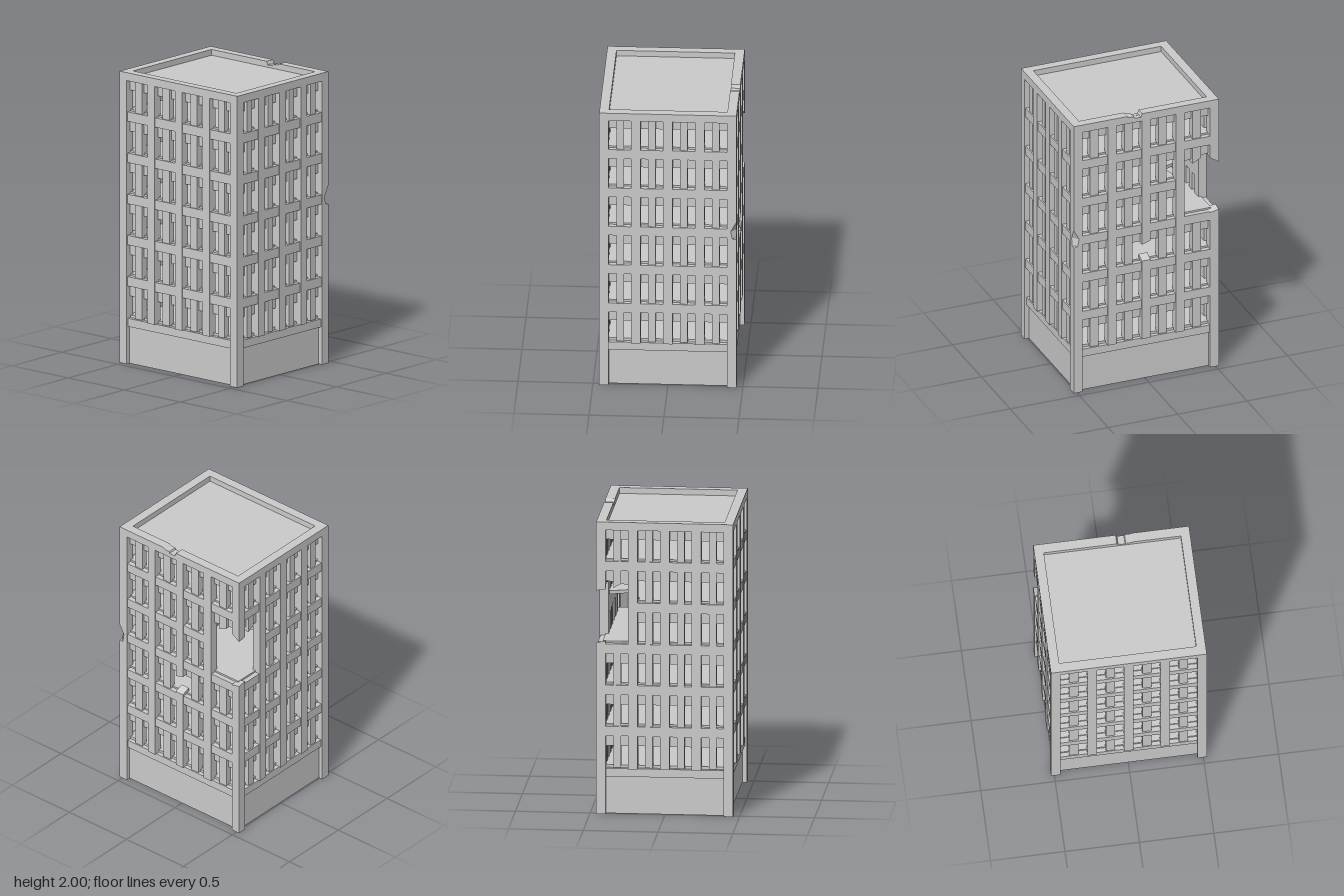
import * as THREE from 'three';

const HX = 0.4575, HZ = 0.523;       // half width and half depth
const POST = 0.063, WALL = 0.06;     // corner post size, wall thickness
const STOREY = 0.2825, STOREYS = 6, BASE = 0.317;

const grey = new THREE.MeshStandardMaterial({ color: 0xcccccc, flatShading: true });

function add(parent, name, geometry) {
  const mesh = new THREE.Mesh(geometry, grey);
  mesh.name = name;
  parent.add(mesh);
  return mesh;
}

// Box given by its limits
function box(parent, name, x0, x1, y0, y1, z0, z1) {
  const g = new THREE.BoxGeometry(x1 - x0, y1 - y0, z1 - z0);
  g.translate((x0 + x1) / 2, (y0 + y1) / 2, (z0 + z1) / 2);
  return add(parent, name, g);
}

// Makes one end of a box uneven: rule(x, z) gives the shift in y
function breakEnd(mesh, y, rule) {
  const p = mesh.geometry.attributes.position;
  for (let i = 0; i < p.count; i++) {
    if (Math.abs(p.getY(i) - y) < 0.001) p.setY(i, y + rule(p.getX(i), p.getZ(i)));
  }
  mesh.geometry.computeVertexNormals();
}

// Post lofted through sections [y, corner cut], outer corner at (HX, HZ)
function chippedPost(parent, sections) {
  const ring = ([y, c]) => [
    [HX - POST, y, HZ - POST], [HX - POST, y, HZ], [HX - c, y, HZ],
    [HX, y, HZ - c], [HX, y, HZ - POST],
  ];
  const rings = sections.map(ring), pos = [];
  const tri = (a, b, c) => pos.push(...a, ...b, ...c);
  for (let i = 0; i + 1 < rings.length; i++) {
    for (let k = 0; k < 5; k++) {
      const n = (k + 1) % 5, a = rings[i], b = rings[i + 1];
      tri(a[k], a[n], b[n]);
      tri(a[k], b[n], b[k]);
    }
  }
  const top = rings[rings.length - 1], low = rings[0];
  for (let k = 1; k < 4; k++) {
    tri(top[0], top[k], top[k + 1]);
    tri(low[0], low[k + 1], low[k]);
  }
  const g = new THREE.BufferGeometry();
  g.setAttribute('position', new THREE.Float32BufferAttribute(pos, 3));
  g.computeVertexNormals();
  add(parent, 'chippedCornerPost', g);
}

// One facade, facing +z before it is turned
function facade(name, half, depth, angle, pier, opts) {
  const group = new THREE.Group();
  group.name = name;
  group.rotation.y = angle;
  const inner = half - POST, back = depth - WALL, pw = 0.0315;

  // Base ledge and panel
  box(group, 'basePanel', -inner, inner, 0, 0.256, depth - 0.06, depth - 0.03);
  box(group, 'baseLedge', -inner, inner, 0.256, 0.312, back, depth - 0.012);

  // Piers
  for (const c of [-pier, 0, pier]) {
    const parts = c === 0 && opts.pierGap ? [[0.31, 0.905], [1.03, opts.pierTop]] : [[0.31, opts.pierTop]];
    for (const [a, b] of parts) {
      const m = box(group, 'pier', c - pw, c + pw, a, b, back, depth);
      if (b === 0.905) breakEnd(m, b, (x, z) => (z > back + 0.01 ? -0.01 : 0.015));
      if (a === 1.03) breakEnd(m, a, (x) => (x > 0 ? 0.008 : -0.012));
    }
  }

  // Bays: band, recessed header and mullion on each storey
  const edges = [[-inner, -pier - pw], [-pier + pw, -pw], [pw, pier - pw], [pier + pw, inner]];
  edges.forEach(([l, r], bay) => {
    const mid = (l + r) / 2, w = (r - l) / 6;
    for (let i = 0; i < STOREYS; i++) {
      const y = BASE + i * STOREY, broken = bay === opts.brokenBay;
      if (broken && i === 3) continue;
      const torn = broken && i === 4;
      const bandTop = y + 0.283, bandLow = y + 0.218;
      const header = box(group, 'header', l, r, y + 0.145, bandLow + 0.03, back, depth - 0.035);
      if (torn) breakEnd(header, y + 0.145, (x) => (x * (bay ? 1 : -1) > Math.abs(mid) ? 0 : -0.03));
      const foot = torn ? 1.555 : y;
      const m = box(group, 'mullion', mid - w, mid + w, foot, bandLow, back, depth - 0.015);
      if (torn) breakEnd(m, foot, (x) => (x > mid ? 0.02 : -0.01));
      if (i < STOREYS - 1) {
        box(group, 'floorBand', l, r, bandLow, bandTop, back, depth - 0.006);
      }
    }
  });
  return group;
}

export function createModel() {
  const model = new THREE.Group();
  model.name = 'ruinedTower';

  // Four facades, the rear left corner torn open
  model.add(facade('frontFacade', HX, HZ, 0, 0.2125, { pierTop: 1.95 }));
  model.add(facade('rearFacade', HX, HZ, Math.PI, 0.2125, { brokenBay: 0, pierTop: 1.95 }));
  model.add(facade('leftFacade', HZ, HX, Math.PI / 2, 0.245, { brokenBay: 3, pierGap: true, pierTop: 1.95 }));
  model.add(facade('rightFacade', HZ, HX, -Math.PI / 2, 0.245, { pierTop: 1.95 }));

  // Corner posts
  box(model, 'cornerPost', -HX, -HX + POST, 0, 2, HZ - POST, HZ);
  box(model, 'cornerPost', -HX, -HX + POST, 0, 2, -HZ, -HZ + POST);
  chippedPost(model, [[0, 0], [1.09, 0], [1.095, 0.028], [1.15, 0.038], [1.22, 0], [2, 0]]);
  const lower = box(model, 'brokenPostFoot', HX - POST, HX, 0, 1.17, -HZ, -HZ + POST);
  breakEnd(lower, 1.17, (x, z) => (z < -0.5 ? 0.015 : 0) - (x > 0.42 ? 0.01 : 0));
  const upper = box(model, 'brokenPostHead', HX - POST, HX, 1.53, 2, -HZ, -HZ + POST);
  breakEnd(upper, 1.53, (x, z) => (z > -0.5 ? 0.04 : 0) + (x < 0.42 ? 0.01 : 0));

  // Base and floor slabs
  const sx = HX - 0.04, sz = HZ - 0.04;
  box(model, 'baseBlock', -HX + 0.03, HX - 0.03, 0, 0.25, -HZ + 0.03, HZ - 0.03);
  for (let i = 0; i < STOREYS; i++) {
    const y = BASE + i * STOREY;
    if (i !== 4) {
      box(model, 'floorSlab', -sx, sx, y - 0.01, y + 0.013, -sz, sz);
      continue;
    }
    const s = new THREE.Shape([
      [-sx, -sz], [sx, -sz], [sx, 0.24], [0.27, 0.19], [0.175, 0.42], [0.2, sz], [-sx, sz],
    ].map(([a, b]) => new THREE.Vector2(a, b)));
    const g = new THREE.ExtrudeGeometry(s, { depth: 0.023, bevelEnabled: false });
    g.rotateX(-Math.PI / 2);
    add(model, 'brokenFloorSlab', g).position.y = y - 0.01;
  }

  // Roof and parapet, one side notched
  const ix = HX - POST, iz = HZ - POST;
  box(model, 'roof', -ix - 0.01, ix + 0.01, 1.935, 1.96, -iz - 0.01, iz + 0.01);
  for (const s of [-1, 1]) {
    const z = s * (HZ - POST / 2);
    box(model, 'parapet', -ix, ix, 1.945, 2, z - POST / 2, z + POST / 2);
  }
  box(model, 'parapet', -HX, -ix, 1.945, 2, -iz, iz);
  const profile = new THREE.Shape([
    [-iz, 1.945], [iz, 1.945], [iz, 2], [0.14, 2], [0.125, 1.99], [0.09, 1.988],
    [0.085, 1.977], [0.04, 1.975], [0.03, 2], [-iz, 2],
  ].map(([a, b]) => new THREE.Vector2(-a, b)));
  const notched = new THREE.ExtrudeGeometry(profile, { depth: POST, bevelEnabled: false });
  notched.rotateY(Math.PI / 2);
  add(model, 'notchedParapet', notched).position.x = ix;

  return model;
}
